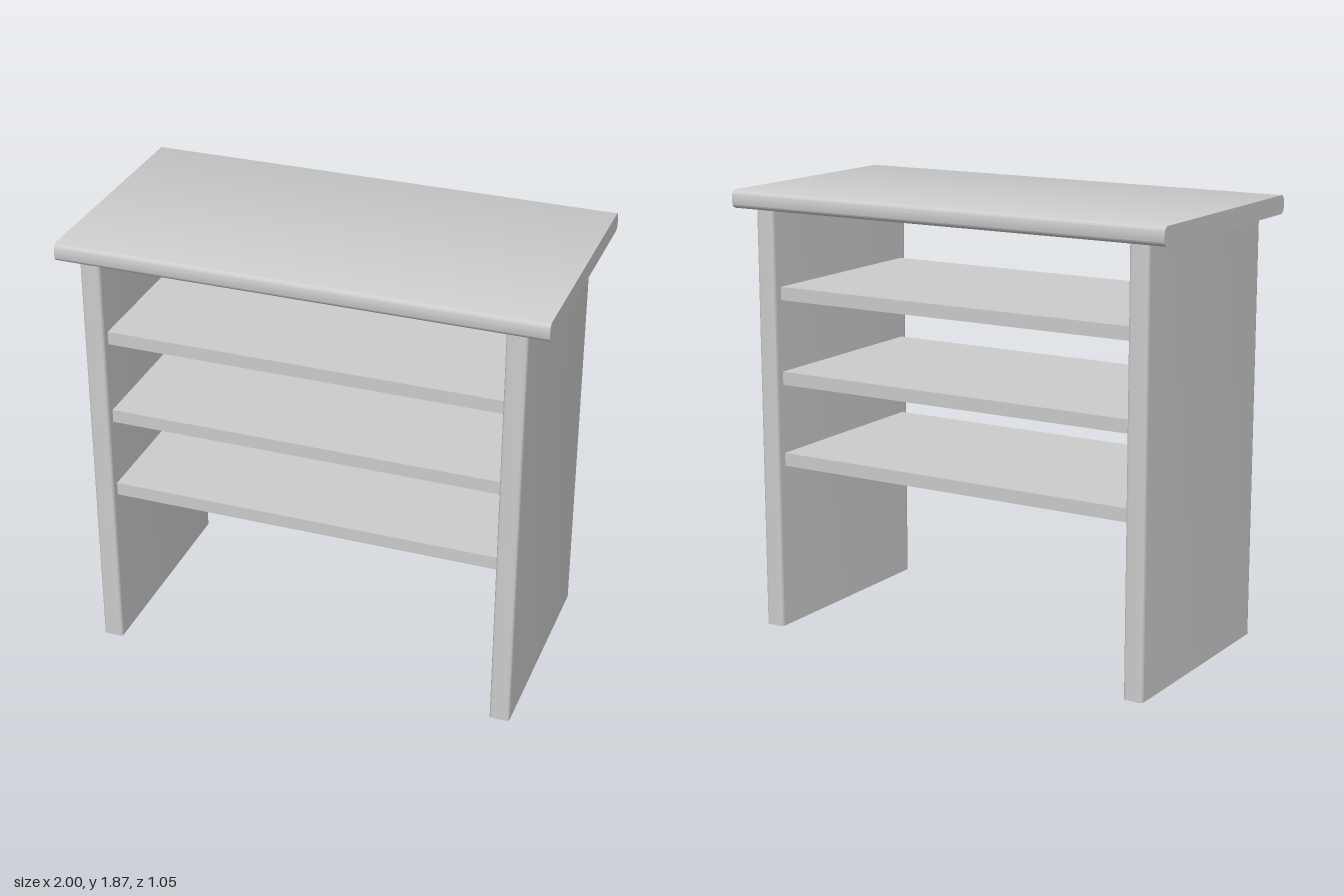
import * as THREE from 'three';
import { toCreasedNormals } from 'three/addons/utils/BufferGeometryUtils.js';

// Board with four rounded long edges, extruded along +z and centred
function roundedBoard(w, h, length, r) {
  const x = w / 2, y = h / 2;
  const s = new THREE.Shape();
  s.absarc(x - r, y - r, r, 0, Math.PI / 2);
  s.absarc(-x + r, y - r, r, Math.PI / 2, Math.PI);
  s.absarc(-x + r, -y + r, r, Math.PI, Math.PI * 1.5);
  s.absarc(x - r, -y + r, r, Math.PI * 1.5, Math.PI * 2);
  s.closePath();
  const g = new THREE.ExtrudeGeometry(s, { depth: length, bevelEnabled: false, curveSegments: 6 });
  g.translate(0, 0, -length / 2);
  return toCreasedNormals(g, Math.PI / 6);
}

export function createModel() {
  const group = new THREE.Group();
  const material = new THREE.MeshStandardMaterial({ color: 0xcccccc });
  const add = (name, geometry, x, y, z) => {
    const mesh = new THREE.Mesh(geometry, material);
    mesh.name = name;
    mesh.position.set(x, y, z);
    group.add(mesh);
  };

  // Table top, rounded along its front and back edges
  add('tableTop', roundedBoard(1.05, 0.077, 2, 0.025).rotateY(Math.PI / 2), 0, 1.833, 0);

  // Side panels, rounded along their upright edges
  const panel = roundedBoard(0.085, 0.965, 1.795, 0.014).rotateX(Math.PI / 2);
  add('leftPanel', panel, 0.864, 0.8975, -0.006);
  add('rightPanel', panel, -0.876, 0.8975, -0.006);

  // Three shelves between the panels
  const shelf = new THREE.BoxGeometry(1.656, 0.056, 0.88);
  [0.732, 1.083, 1.443].forEach((y, i) => add(`shelf${i + 1}`, shelf, -0.006, y, -0.004));

  return group;
}
